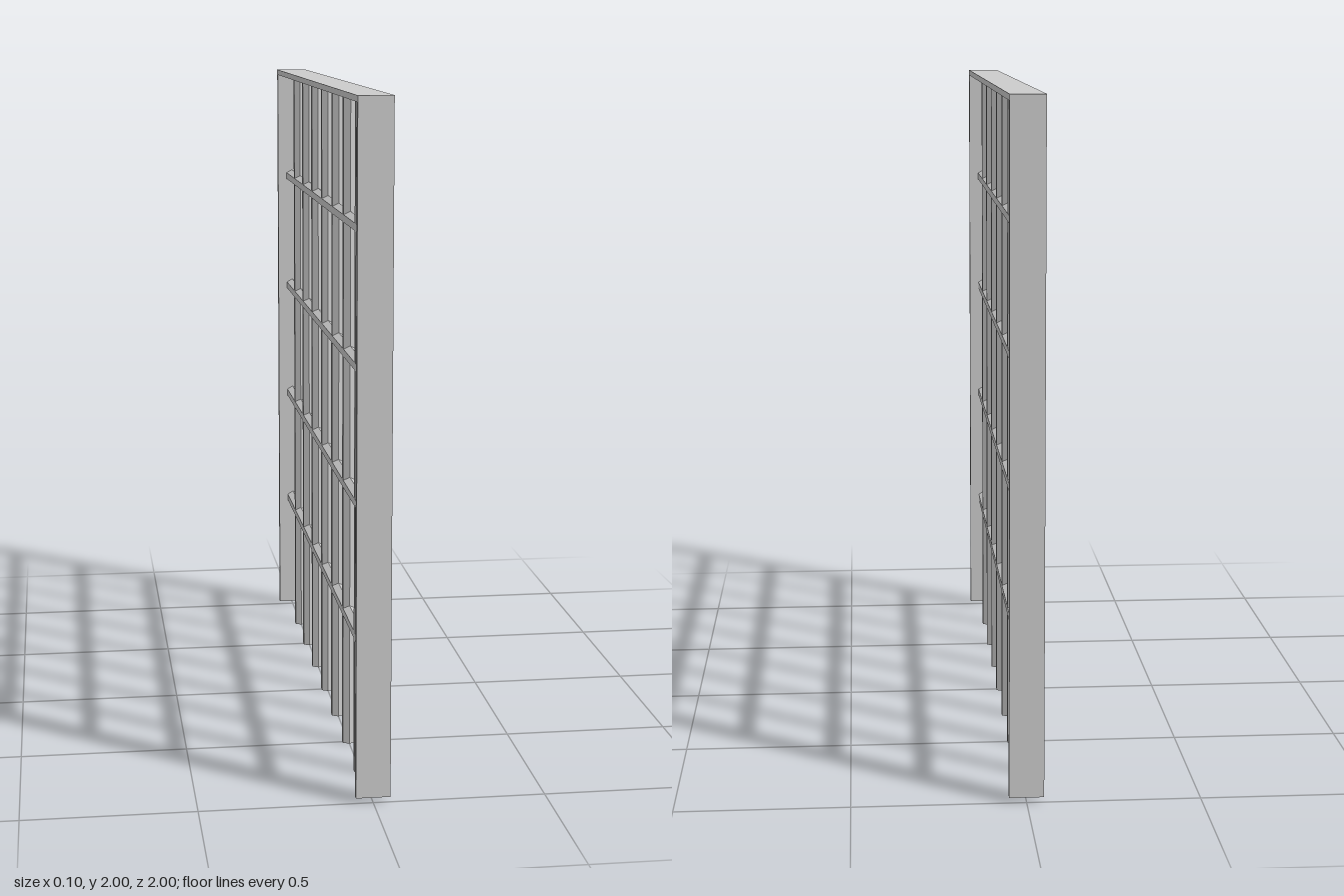
import * as THREE from 'three';

export function createModel() {
  const group = new THREE.Group();
  const material = new THREE.MeshStandardMaterial({ color: 0xcccccc, flatShading: true });
  const depth = 0.1, plate = 0.018, frameBottom = 0.015, barRadius = 0.022;

  const add = (name, geometry, x, y, z) => {
    const mesh = new THREE.Mesh(geometry, material);
    mesh.name = name;
    mesh.position.set(x, y, z);
    group.add(mesh);
  };

  // Flat frame: top plate and two side plates, open at the bottom
  add('frameTop', new THREE.BoxGeometry(depth, plate, 2), 0, 2 - plate / 2, 0);
  const sideHeight = 2 - plate - frameBottom;
  for (const s of [-1, 1]) {
    add(s > 0 ? 'frameSideFront' : 'frameSideBack',
      new THREE.BoxGeometry(depth, sideHeight, plate),
      0, frameBottom + sideHeight / 2, s * (1 - plate / 2));
  }

  // Upright hexagonal bars, reaching just below the frame
  const barHeight = 2 - plate;
  const upright = new THREE.CylinderGeometry(barRadius, barRadius, barHeight, 6);
  for (let i = -3; i <= 3; i++) add('verticalBar', upright, 0, barHeight / 2, i * 0.249);

  // Cross bars between the side plates
  const cross = new THREE.CylinderGeometry(barRadius, barRadius, 2 - 2 * plate, 6);
  cross.rotateX(Math.PI / 2);
  for (let i = 0; i < 4; i++) add('horizontalBar', cross, 0, 0.419 + i * 0.4, 0);

  return group;
}
